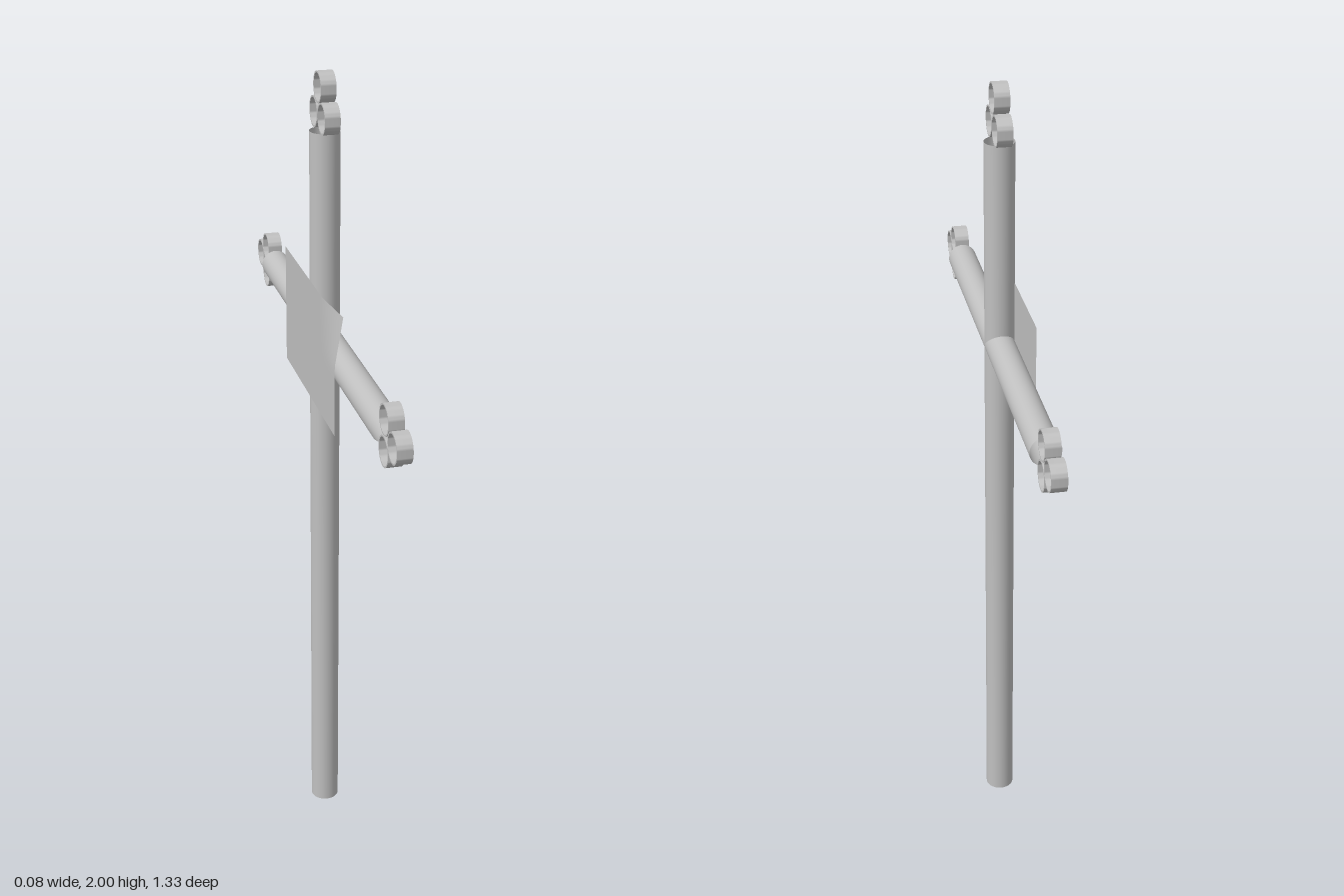
import * as THREE from 'three';
import { toCreasedNormals } from 'three/addons/utils/BufferGeometryUtils.js';

const R = 0.036; // pipe and ring radius
const CROSS_Y = 1.36;

// Open pipe running up from the crossing, its lower end mitred to meet the others
function pipeGeometry(length) {
  const g = new THREE.CylinderGeometry(R, R, length, 40, 1, true);
  g.translate(0, length / 2, 0);
  const p = g.attributes.position;
  for (let i = 0; i < p.count; i++) {
    if (p.getY(i) < length / 2) p.setY(i, Math.abs(p.getZ(i)));
  }
  return g;
}

// Thin-walled ring with its axis along x
function ringGeometry() {
  const shape = new THREE.Shape().absarc(0, 0, R, 0, Math.PI * 2, false);
  shape.holes.push(new THREE.Path().absarc(0, 0, R - 0.004, 0, Math.PI * 2, true));
  const g = new THREE.ExtrudeGeometry(shape, { depth: 0.036, bevelEnabled: false, curveSegments: 24 });
  g.translate(0, 0, -0.018).rotateY(Math.PI / 2);
  return toCreasedNormals(g, 0.6);
}

// Sheet in the yz plane with one upper corner curled toward the post
function plaqueGeometry() {
  const g = new THREE.PlaneGeometry(0.48, 0.3, 24, 15);
  g.rotateY(-Math.PI / 2);
  const p = g.attributes.position;
  for (let i = 0; i < p.count; i++) {
    const u = Math.max(0, (p.getZ(i) - 0.13) / 0.11);
    const v = Math.max(0, (p.getY(i) - 0.02) / 0.13);
    p.setX(i, 0.02 * u * v);
    p.setY(i, p.getY(i) - 0.008 * u * v);
  }
  g.computeVertexNormals();
  return g;
}

export function createModel() {
  const model = new THREE.Group();
  const metal = new THREE.MeshStandardMaterial({ color: 0xc0c0c0, side: THREE.DoubleSide });
  metal.name = 'grey metal';

  const ring = ringGeometry();
  const limbs = [
    ['upperPost', 0.504, 0, true],
    ['lowerPost', CROSS_Y, Math.PI, false],
    ['frontArm', 0.531, Math.PI / 2, true],
    ['backArm', 0.531, -Math.PI / 2, true],
  ];
  for (const [name, length, angle, hasRings] of limbs) {
    const limb = new THREE.Group();
    limb.name = name;
    limb.position.y = CROSS_Y;
    limb.rotation.x = angle;
    const pipe = new THREE.Mesh(pipeGeometry(length), metal);
    pipe.name = name + 'Pipe';
    limb.add(pipe);

    // Trefoil of three rings at the tip
    if (hasRings) {
      for (const [z, y] of [[-0.037, 0.036], [0.037, 0.036], [0, 0.1]]) {
        const mesh = new THREE.Mesh(ring, metal);
        mesh.name = 'trefoilRing';
        mesh.position.set(0, length + y, z);
        limb.add(mesh);
      }
    }
    model.add(limb);
  }

  // Plaque fixed to the side of the crossing
  const plaque = new THREE.Mesh(plaqueGeometry(), metal);
  plaque.name = 'plaque';
  plaque.position.set(-0.039, CROSS_Y, 0);
  model.add(plaque);

  return model;
}
